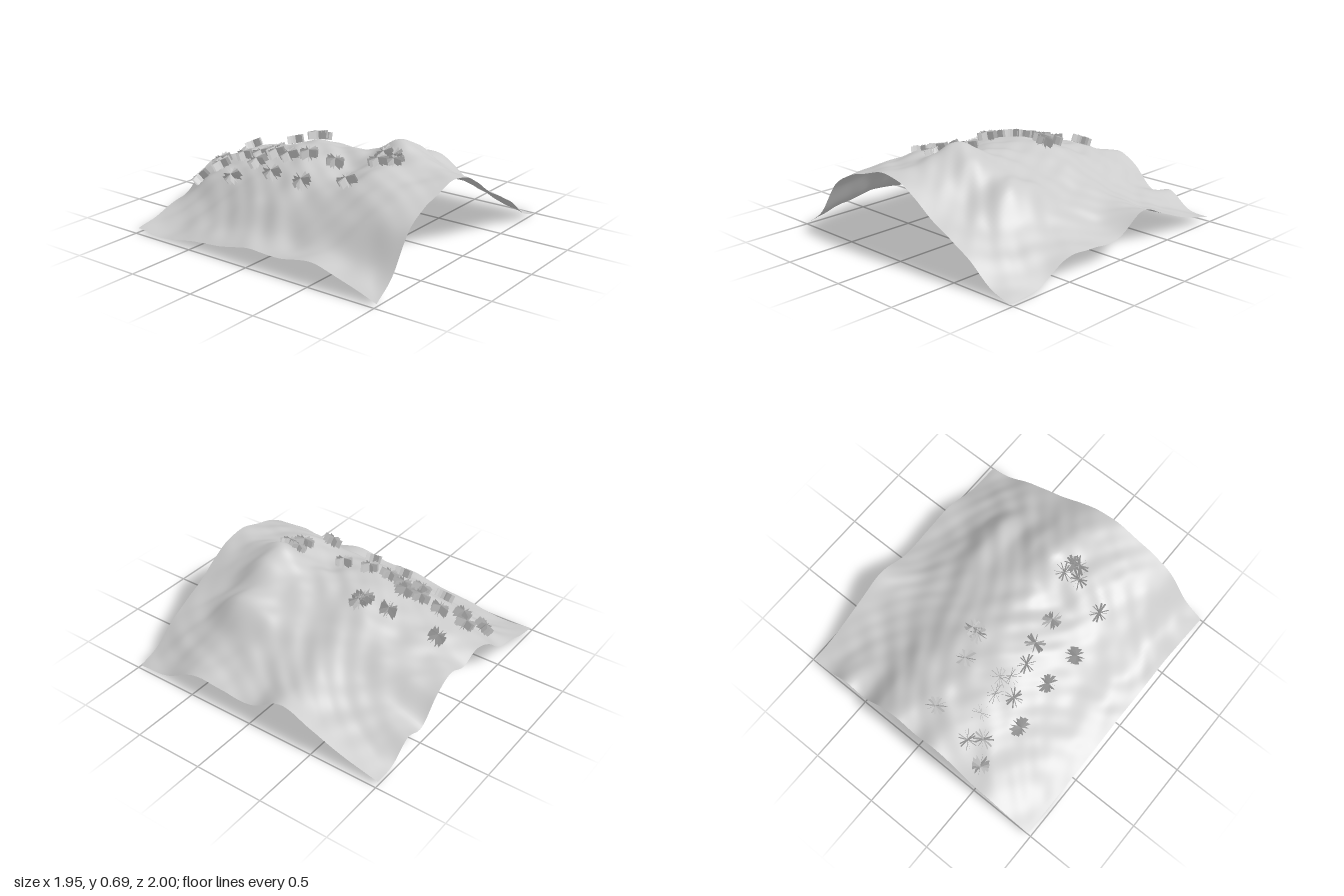
import * as THREE from 'three';

const HALF_X = 0.975, HALF_Z = 1;
// Height of the hill: one row per z from back to front, left to right along x
const ROWS = [
  [.03, .065, .12, .16, .285, .345, .30, .35, .28, .125, .155, .05, .03],
  [.015, .07, .17, .32, .38, .41, .42, .40, .33, .22, .17, .12, .09],
  [.055, .12, .24, .37, .435, .47, .47, .45, .39, .29, .22, .18, .18],
  [.08, .16, .30, .42, .50, .54, .555, .53, .45, .36, .29, .26, .265],
  [.125, .18, .33, .45, .53, .55, .55, .51, .45, .37, .28, .20, .14],
  [.12, .17, .32, .45, .49, .525, .58, .55, .49, .44, .30, .20, .145],
  [.16, .19, .35, .49, .57, .595, .685, .64, .515, .49, .31, .20, .15],
  [.10, .17, .38, .49, .54, .57, .59, .51, .41, .33, .23, .13, .03],
  [.02, .14, .37, .47, .52, .56, .54, .46, .35, .27, .18, .06, 0],
];

// Smooth curve through evenly spaced values, t from 0 to 1
function spline(values, t) {
  const n = values.length - 1;
  const f = THREE.MathUtils.clamp(t, 0, 1) * n;
  const i = Math.min(Math.floor(f), n - 1), u = f - i;
  const b = values[i], c = values[i + 1];
  const a = i > 0 ? values[i - 1] : 2 * b - c;
  const d = i < n - 1 ? values[i + 2] : 2 * c - b;
  return b + 0.5 * u * (c - a + u * (2 * a - 5 * b + 4 * c - d + u * (3 * (b - c) + d - a)));
}

function groundHeight(x, z) {
  const u = (x + HALF_X) / (2 * HALF_X), v = (z + HALF_Z) / (2 * HALF_Z);
  const base = spline(ROWS.map((row) => spline(row, u)), v);
  // Small rounded bumps that fade towards the rim
  const fade = Math.min(1, 0.2 + 8 * Math.min(u, 1 - u, v, 1 - v));
  const bumps = Math.sin(17 * x + 2 * Math.sin(5 * z)) * Math.sin(16 * z + 2 * Math.sin(6 * x))
    + 0.5 * Math.sin(31 * x + 3 * Math.sin(4 * z + 1)) * Math.sin(27 * z + 3 * Math.sin(5 * x + 2));
  return Math.max(0, base + 0.009 * fade * bumps);
}

function groundNormal(x, z) {
  const e = 0.05;
  return new THREE.Vector3(
    groundHeight(x - e, z) - groundHeight(x + e, z), 2 * e,
    groundHeight(x, z - e) - groundHeight(x, z + e)).normalize();
}

// Tuft positions: x, z and, where a tuft is sunk into the ground, its depth
const TUFTS = [
  [-.47, -.88], [-.31, -.82], [-.39, -.75], [-.01, -.78], [-.275, -.635], [-.52, -.53],
  [-.27, -.48], [-.38, -.42], [-.23, -.38], [-.28, -.33], [.03, -.42], [-.49, -.2],
  [-.31, -.2], [.07, -.25], [.11, -.24], [-.27, -.06], [-.51, .07], [-.25, .145],
  [-.46, .4], [-.22, .475, .01], [-.16, .555, .015], [-.11, .45, .03], [-.12, .53, .03],
];

export function createModel() {
  const model = new THREE.Group();
  const material = new THREE.MeshStandardMaterial({ color: 0xcccccc, side: THREE.DoubleSide });

  // Open sheet of ground
  const groundGeo = new THREE.PlaneGeometry(2 * HALF_X, 2 * HALF_Z, 96, 100).rotateX(-Math.PI / 2);
  const pos = groundGeo.attributes.position;
  for (let i = 0; i < pos.count; i++) pos.setY(i, groundHeight(pos.getX(i), pos.getZ(i)));
  groundGeo.computeVertexNormals();
  const ground = new THREE.Mesh(groundGeo, material);
  ground.name = 'hillGround';
  model.add(ground);

  // Grass tufts: crossing upright cards, leaning with the slope
  const cardGeo = new THREE.PlaneGeometry(1, 0.055).translate(0, 0.031, 0);
  const up = new THREE.Vector3(0, 1, 0);
  TUFTS.forEach(([x, z, sink = 0], t) => {
    const tuft = new THREE.Group();
    tuft.name = 'grassTuft';
    for (let i = 0; i < 6; i++) {
      const card = new THREE.Mesh(cardGeo, material);
      card.name = 'grassCard';
      card.scale.x = 0.13 + 0.015 * Math.sin(5 * i + t);
      card.rotation.y = (i * Math.PI) / 6 + 0.1 * Math.sin(3 * i + 2 * t);
      tuft.add(card);
    }
    // The foot sits uphill of the tuft's middle
    const normal = groundNormal(x, z);
    const footX = x - 0.03 * normal.x, footZ = z - 0.03 * normal.z;
    tuft.position.set(footX, groundHeight(footX, footZ) - sink, footZ);
    tuft.quaternion.setFromUnitVectors(up, normal);
    model.add(tuft);
  });
  return model;
}
